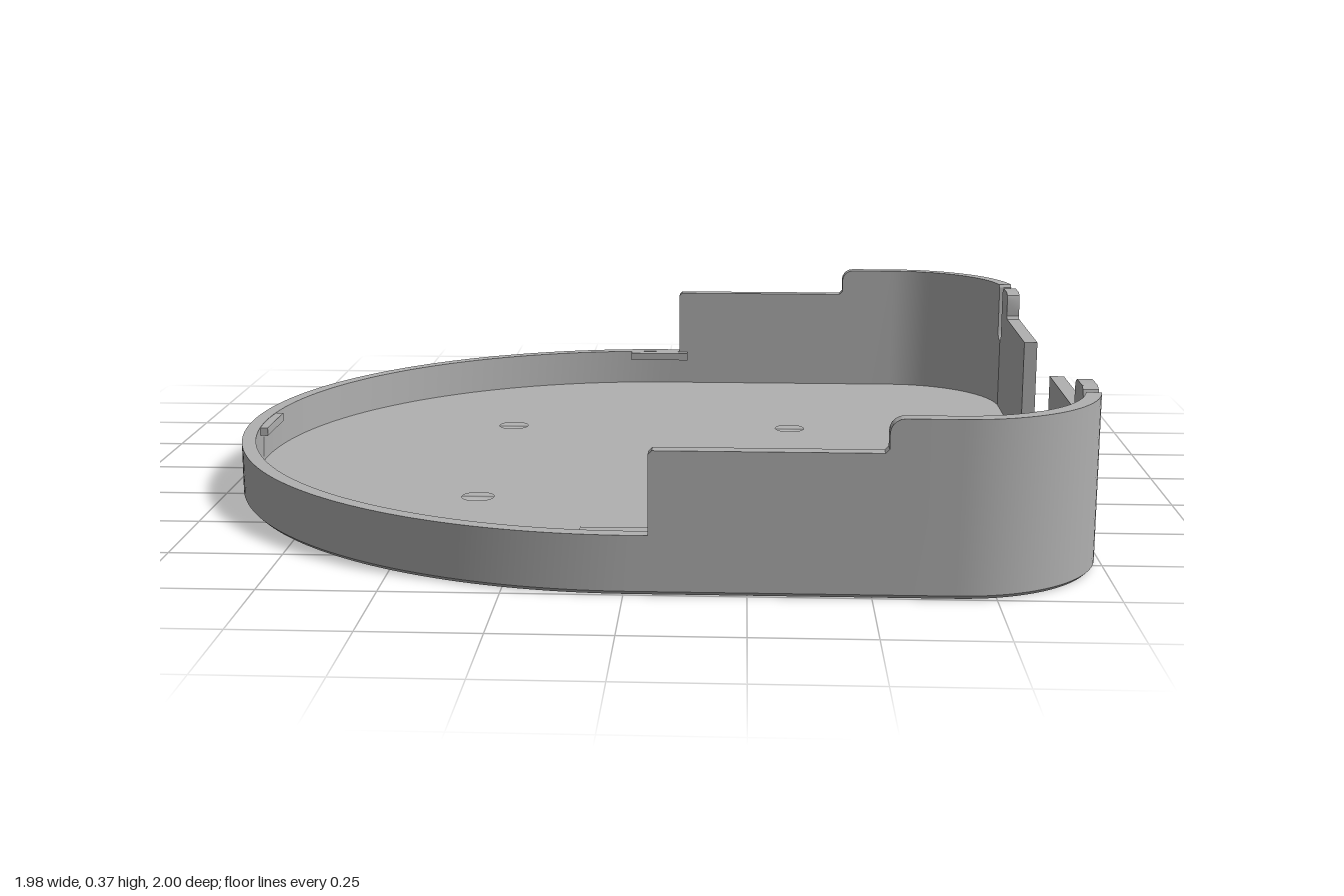
import * as THREE from 'three';
import { toCreasedNormals } from 'three/addons/utils/BufferGeometryUtils.js';

const R = 1, CX = 0.01;            // round end
const CR = 0.32, EDGE = 0.99;      // corner radius and flat end
const T = 0.033, FLOOR = 0.032;    // wall and floor thickness
const NOTCH_X = 0.625, NOTCH_Z = 0.216;
const LOW = 0.125, MID = 0.3, HIGH = 0.37;

// Half of the wall path: outer point, outward normal and wall height
function halfPath() {
  const path = [];
  const add = (x, z, nx, nz, h) => path.push({ x, z, nx, nz, h });
  // round end, low rim
  for (let i = 0; i <= 48; i++) {
    const a = Math.PI - (i / 48) * Math.PI / 2;
    add(CX + R * Math.cos(a), R * Math.sin(a), Math.cos(a), Math.sin(a), LOW);
  }
  // straight side with two steps
  const side = [[0.05, LOW], [0.05, MID - 0.008], [0.058, MID], [0.52, MID], [0.528, MID + 0.008], [0.528, HIGH - 0.03]];
  for (let i = 1; i <= 5; i++) {
    const a = (i / 5) * Math.PI / 2;
    side.push([0.558 - 0.03 * Math.cos(a), HIGH - 0.03 + 0.03 * Math.sin(a)]);
  }
  side.forEach(([x, h]) => add(x, 1, 0, 1, h));
  // rounded corner, stopping short of the slot
  const c = 1 - CR;
  for (let i = 0; i <= 20; i++) {
    const a = Math.PI / 2 - (i / 20) * 1.36;
    add(EDGE - CR + CR * Math.cos(a), c + CR * Math.sin(a), Math.cos(a), Math.sin(a), HIGH);
  }
  // clip slot, clip and lower end wall, listed by z
  const end = [[0.73, HIGH], [0.724, HIGH - 0.008]];
  for (let i = 0; i <= 8; i++) {
    const a = (i / 8) * Math.PI;
    end.push([0.7 + 0.024 * Math.cos(a), 0.24 - 0.024 * Math.sin(a)]);
  }
  end.push([0.676, HIGH - 0.02], [0.67, HIGH - 0.006], [0.656, HIGH], [0.59, HIGH], [0.576, HIGH - 0.006],
    [0.57, HIGH - 0.02], [0.57, MID + 0.008], [0.562, MID], [NOTCH_Z, MID]);
  end.forEach(([z, h]) => {
    const nz = Math.max(0, z - c) / CR, nx = Math.sqrt(1 - nz * nz);
    add(EDGE - CR + CR * nx, z, nx, nz, h);
  });
  return path;
}

// Sweep a wall section of varying height along the path
function wallGeometry(path) {
  const rings = path.map(({ x, z, nx, nz, h }) =>
    [[0.008, 0], [0, 0.008], [0, h], [T, h], [T, 0]].map(([d, y]) => new THREE.Vector3(x - nx * d, y, z - nz * d)));
  const pos = [];
  const ab = new THREE.Vector3(), ac = new THREE.Vector3();
  const tri = (a, b, c) => {
    if (ab.subVectors(b, a).cross(ac.subVectors(c, a)).length() < 1e-8) return;
    [a, b, c].forEach(p => pos.push(p.x, p.y, p.z));
  };
  for (let i = 0; i < rings.length - 1; i++) {
    const p = rings[i], q = rings[i + 1];
    for (let k = 0; k < 5; k++) {
      const n = (k + 1) % 5;
      tri(p[k], q[k], q[n]);
      tri(p[k], q[n], p[n]);
    }
  }
  const first = rings[0], last = rings[rings.length - 1];
  for (let k = 1; k < 4; k++) {
    tri(first[0], first[k], first[k + 1]);
    tri(last[0], last[k + 1], last[k]);
  }
  const g = new THREE.BufferGeometry();
  g.setAttribute('position', new THREE.Float32BufferAttribute(pos, 3));
  return toCreasedNormals(g, 0.5);
}

// Floor plate filling the inside of the wall, with notch and screw holes
function floorGeometry(path) {
  const pts = [];
  path.forEach(({ x, z, nx, nz }) => {
    const p = new THREE.Vector2(x - nx * T, z - nz * T);
    if (!pts.length || pts[pts.length - 1].distanceTo(p) > 1e-4) pts.push(p);
  });
  const shape = new THREE.Shape(pts);
  const f = 0.025;
  shape.lineTo(NOTCH_X + f, NOTCH_Z);
  shape.quadraticCurveTo(NOTCH_X, NOTCH_Z, NOTCH_X, NOTCH_Z - f);
  shape.lineTo(NOTCH_X, f - NOTCH_Z);
  shape.quadraticCurveTo(NOTCH_X, -NOTCH_Z, NOTCH_X + f, -NOTCH_Z);
  shape.closePath();
  for (const x of [-0.376, 0.364]) for (const z of [-0.37, 0.37]) {
    shape.holes.push(new THREE.Path().absarc(x, z, 0.038, 0, Math.PI * 2, true));
  }
  const g = new THREE.ExtrudeGeometry(shape, { depth: FLOOR, bevelEnabled: false, curveSegments: 16 });
  g.rotateX(-Math.PI / 2);
  return toCreasedNormals(g, 0.5);
}

export function createModel() {
  const group = new THREE.Group();
  group.name = 'tray';
  const grey = new THREE.MeshStandardMaterial({ color: 0xb0b0b0 });
  grey.name = 'grey plastic';
  const add = (name, geometry, x = 0, y = 0, z = 0) => {
    const mesh = new THREE.Mesh(geometry, grey);
    mesh.name = name;
    mesh.position.set(x, y, z);
    group.add(mesh);
  };

  const half = halfPath();
  const mirrored = half.slice(1).reverse().map(p => ({ ...p, z: -p.z, nz: -p.nz }));
  const path = [...mirrored, ...half];
  add('wall', wallGeometry(path));
  add('floor', floorGeometry(path));

  // snap tabs just under the low rim
  const tabY = LOW - 0.011;
  add('endTab', new THREE.BoxGeometry(0.042, 0.02, 0.17), -0.956, tabY, 0);
  for (const s of [-1, 1]) {
    add(s > 0 ? 'frontTab' : 'backTab', new THREE.BoxGeometry(0.165, 0.02, 0.042), -0.008, tabY, s * 0.959);
  }
  return group;
}
